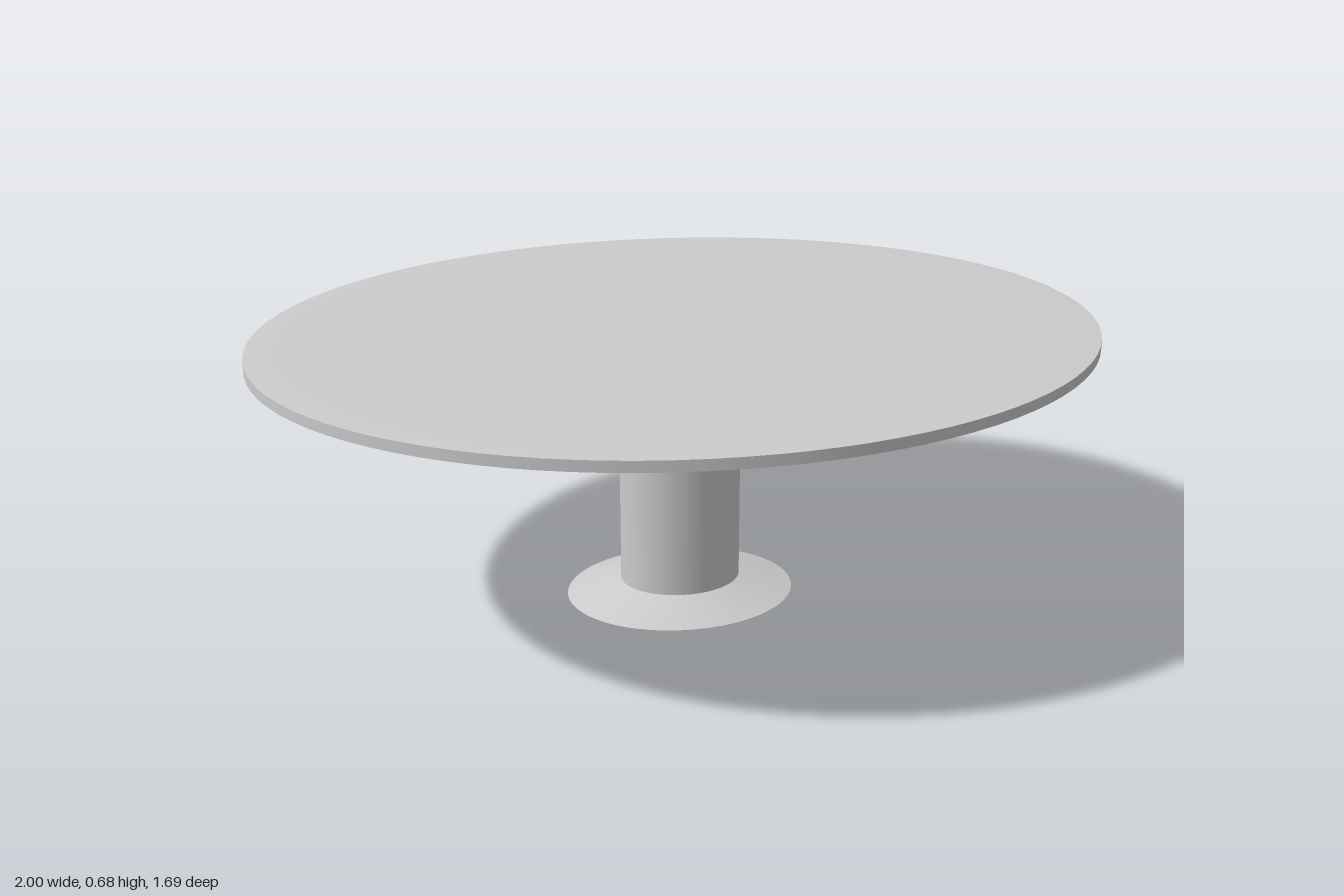
import * as THREE from 'three';
import { mergeGeometries } from 'three/addons/utils/BufferGeometryUtils.js';

const DEPTH = 0.845; // oval: depth relative to width

// Oval turned part; each profile is a smooth band, edges between bands stay crisp
function turned(name, bands, material) {
  const parts = bands.map((band) =>
    new THREE.LatheGeometry(band.map(([r, y]) => new THREE.Vector2(r, y)), 96));
  const geometry = mergeGeometries(parts);
  geometry.scale(1, 1, DEPTH);
  const mesh = new THREE.Mesh(geometry, material);
  mesh.name = name;
  return mesh;
}

export function createModel() {
  const group = new THREE.Group();
  group.name = 'ovalPedestalTable';
  const grey = new THREE.MeshStandardMaterial({ color: 0xcccccc });

  // Flared foot with closed underside
  group.add(turned('foot', [
    [[0, 0], [0.28, 0]],
    [[0.28, 0], [0.147, 0.037]],
  ], grey));

  // Straight column
  group.add(turned('column', [
    [[0.147, 0.037], [0.147, 0.497]],
  ], grey));

  // Conical support under the top
  group.add(turned('support', [
    [[0.147, 0.497], [0.617, 0.622]],
  ], grey));

  // Thin top with bevelled underside, upright rim and slightly crowned surface
  group.add(turned('tableTop', [
    [[0.617, 0.622], [0.89, 0.631], [1, 0.646]],
    [[1, 0.646], [1, 0.671]],
    [[1, 0.671], [0.9, 0.676], [0.4, 0.68], [0, 0.68]],
  ], grey));

  return group;
}
